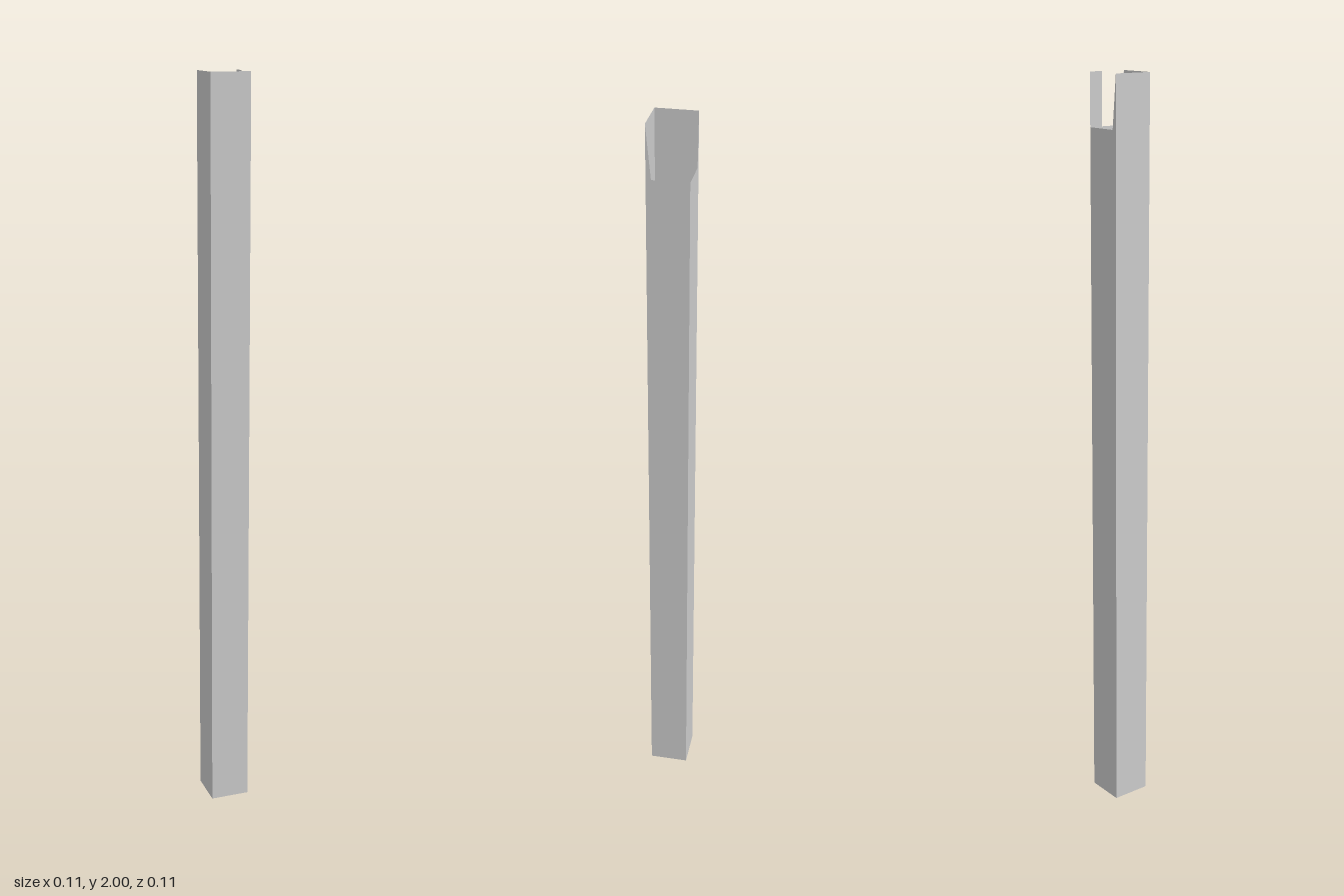
import * as THREE from 'three';

const H = 0.053;      // half the post's width
const TOP = 2;
const CUT = 1.865;    // height of the notch floor

export function createModel() {
  const group = new THREE.Group();
  group.name = 'hollowPost';
  const material = new THREE.MeshStandardMaterial({
    color: 0xcccccc, flatShading: true, side: THREE.DoubleSide,
  });

  // A thin wall drawn as seen from outside, then turned about the post's axis
  const addWall = (name, angle, outline) => {
    const shape = new THREE.Shape(outline.map(([u, y]) => new THREE.Vector2(u, y)));
    const geometry = new THREE.ShapeGeometry(shape).translate(0, 0, H).rotateY(angle);
    const mesh = new THREE.Mesh(geometry, material);
    mesh.name = name;
    group.add(mesh);
  };

  // Two plain walls
  const plain = [[-H, 0], [H, 0], [H, TOP], [-H, TOP]];
  addWall('frontWall', 0, plain);
  addWall('rightWall', -Math.PI / 2, plain);

  // Side wall with a notch, one edge slanting out to the front corner
  addWall('leftNotchedWall', Math.PI / 2, [
    [-H, 0], [H, 0], [H, TOP], [0.016, TOP], [0.016, CUT], [-0.04, CUT], [-H, TOP],
  ]);

  // Back wall cut down, leaving a slanted sliver at one corner
  addWall('backNotchedWall', Math.PI, [
    [-H, 0], [H, 0], [H, TOP], [0.04, CUT], [-H, CUT],
  ]);

  // Closed bottom
  const base = new THREE.Mesh(new THREE.PlaneGeometry(2 * H, 2 * H).rotateX(Math.PI / 2), material);
  base.name = 'base';
  group.add(base);

  return group;
}
